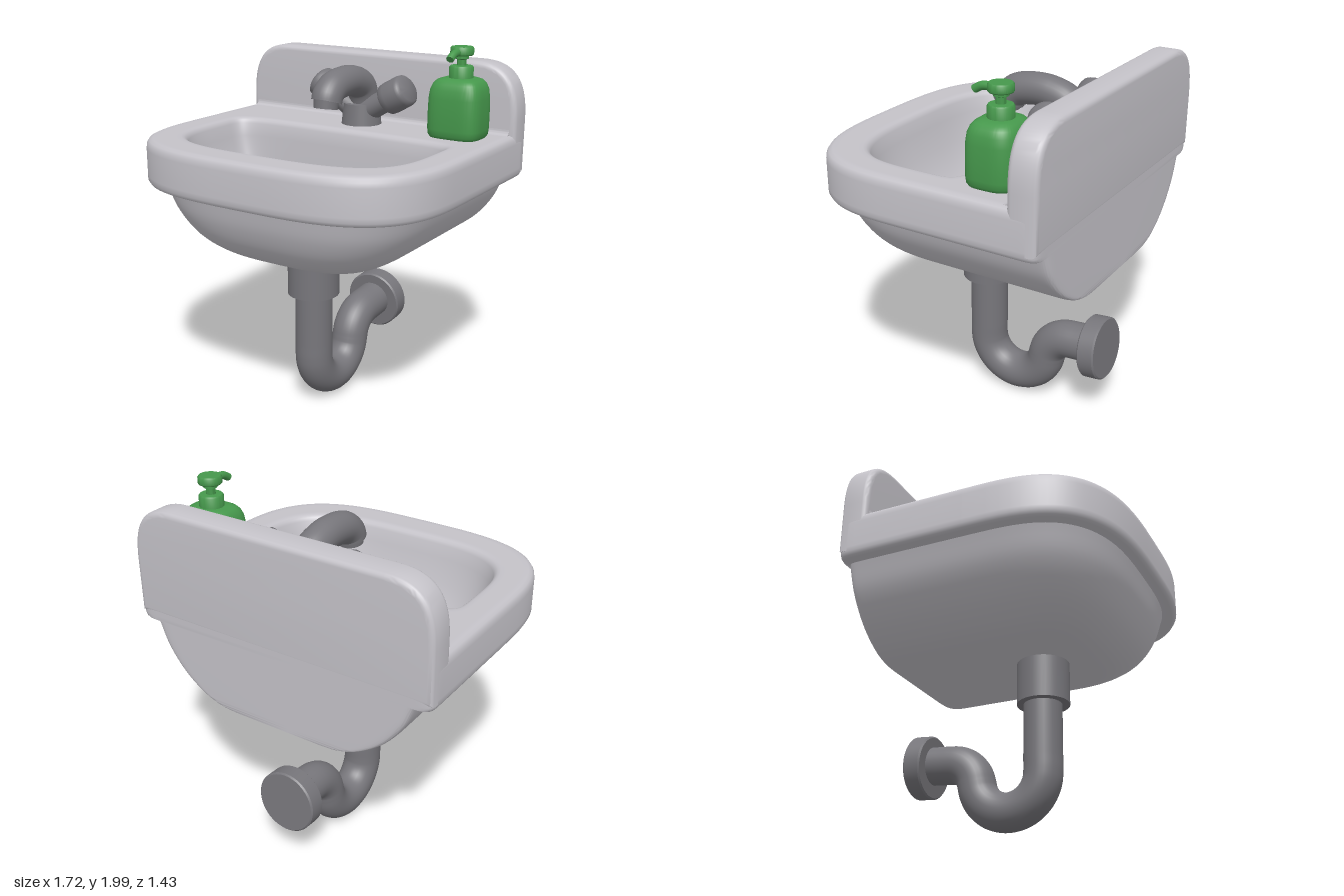
import * as THREE from 'three';
import { toCreasedNormals } from 'three/addons/utils/BufferGeometryUtils.js';

const SEG = 96;

const ceramic = new THREE.MeshStandardMaterial({ color: 0xc4c2c8 });
ceramic.name = 'ceramic';
const metal = new THREE.MeshStandardMaterial({ color: 0x77767b });
metal.name = 'greyMetal';
const green = new THREE.MeshStandardMaterial({ color: 0x46984c });
green.name = 'greenPlastic';

// Skin through rounded rings: [y, half width, front depth, back depth, front exponent, back exponent]
function loft(rings) {
  const pos = [], index = [];
  const power = (v, n) => Math.sign(v) * Math.abs(v) ** (2 / n);
  for (const [y, w, f, b, nf, nb] of rings) {
    for (let i = 0; i < SEG; i++) {
      const a = (i / SEG) * Math.PI * 2;
      const c = Math.cos(a), s = Math.abs(Math.sin(a)) < 1e-9 ? 0 : Math.sin(a);
      const n = s >= 0 ? nf : nb;
      pos.push(w * power(c, n), y, (s >= 0 ? f : b) * power(s, n));
    }
  }
  for (let r = 0; r < rings.length - 1; r++) {
    for (let i = 0; i < SEG; i++) {
      const p = r * SEG + i, q = r * SEG + ((i + 1) % SEG);
      index.push(p, p + SEG, q, q, p + SEG, q + SEG);
    }
  }
  const g = new THREE.BufferGeometry();
  g.setAttribute('position', new THREE.Float32BufferAttribute(pos, 3));
  g.setIndex(index);
  return toCreasedNormals(g, 0.9);
}

// Smooth list of [a, b, c] rows through a few given rows
const smooth = (rows, n) => new THREE.CatmullRomCurve3(rows.map((r) => new THREE.Vector3(...r)))
  .getPoints(n).map((p) => p.toArray());

function add(parent, name, geometry, material, x = 0, y = 0, z = 0) {
  const m = new THREE.Mesh(geometry, material);
  m.name = name;
  m.position.set(x, y, z);
  parent.add(m);
  return m;
}

const cyl = (r1, r2, h) => new THREE.CylinderGeometry(r1, r2, h, 40);
const lathe = (pts) => toCreasedNormals(
  new THREE.LatheGeometry(pts.map((p) => new THREE.Vector2(...p)), 48), 0.7);
const tube = (pts, r, n = 80) => new THREE.TubeGeometry(
  new THREE.CatmullRomCurve3(pts.map(([y, z]) => new THREE.Vector3(0, y, z))), n, r, 28);

function createBasin() {
  const g = new THREE.Group();
  g.name = 'basin';
  // Outside of the bowl and rim, with a flat back
  const belly = smooth([
    [0.9, 0.28, 0.2], [0.907, 0.37, 0.3], [0.94, 0.475, 0.415], [1.03, 0.607, 0.53],
    [1.16, 0.71, 0.603], [1.3, 0.768, 0.642],
  ], 28);
  const outer = [
    [0.9, 0, 0], ...belly,
    [1.294, 0.8, 0.665], [1.29, 0.832, 0.69], [1.296, 0.848, 0.705], [1.315, 0.858, 0.715],
    [1.34, 0.858, 0.715], [1.48, 0.858, 0.715], [1.505, 0.855, 0.712], [1.522, 0.845, 0.702],
    [1.53, 0.828, 0.685], [1.53, 0.8, 0.66],
  ].map(([y, w, f]) => [y, w, f, 0.715, 3.2, 40]);
  // Inside of the bowl
  const inner = [
    [1.53, 0.72, 0.555, 0.255], [1.53, 0.7, 0.535, 0.238], [1.526, 0.687, 0.522, 0.225],
    [1.516, 0.676, 0.51, 0.214], [1.5, 0.669, 0.502, 0.207], [1.43, 0.656, 0.486, 0.202],
    [1.3, 0.625, 0.45, 0.197], [1.18, 0.57, 0.395, 0.192], [1.09, 0.5, 0.325, 0.186],
    [1.03, 0.405, 0.25, 0.172], [1.003, 0.29, 0.18, 0.145], [0.992, 0.15, 0.11, 0.09],
    [0.99, 0, 0, 0],
  ].map((r) => [...r, 3.4, 6]);
  add(g, 'bowl', loft([...outer, ...inner]), ceramic);

  // Upright splash panel with rounded top corners
  const b = 0.03, w = 0.857 - b, top = 1.905 - b;
  const s = new THREE.Shape();
  s.moveTo(-w, 1.35);
  s.lineTo(-w, 1.6);
  s.bezierCurveTo(-w, 1.79, -0.77, top, -0.6, top);
  s.lineTo(0.6, top);
  s.bezierCurveTo(0.77, top, w, 1.79, w, 1.6);
  s.lineTo(w, 1.35);
  const splash = new THREE.ExtrudeGeometry(s, {
    depth: 0.155 - 2 * b, bevelThickness: b, bevelSize: b, bevelSegments: 5, curveSegments: 20,
  });
  add(g, 'splashback', toCreasedNormals(splash, 0.7), ceramic, 0, 0, -0.716 + b);

  // Concave fillet where the panel meets the rim
  const c = new THREE.Shape();
  c.moveTo(0, 0);
  c.lineTo(0.03, 0);
  c.quadraticCurveTo(0, 0, 0, 0.03);
  const cove = new THREE.ExtrudeGeometry(c, { depth: 1.65, bevelEnabled: false, curveSegments: 8 });
  const fillet = add(g, 'fillet', toCreasedNormals(cove, 0.7), ceramic, 0.825, 1.53, -0.561);
  fillet.rotation.y = -Math.PI / 2;
  return g;
}

// Trap centreline as [y, z]: down, round the U, then back over to the wall
function trapPath() {
  const pts = [[0.8, 0.055], [0.65, 0.055], [0.5, 0.055], [0.38, 0.055]];
  const r1 = 0.19, r2 = 0.153, turn = 1.43, y = 0.303, z = -0.135;
  for (let i = 0; i <= 12; i++) {
    const a = -Math.PI / 2 + (i / 12) * (Math.PI / 2 + turn);
    pts.push([y - r1 * Math.cos(a), z - r1 * Math.sin(a)]);
  }
  const cy = y - (r1 + r2) * Math.cos(turn), cz = z - (r1 + r2) * Math.sin(turn);
  for (let i = 1; i <= 6; i++) {
    const a = turn + (i / 6) * (-0.088 - turn + 0.176);
    pts.push([cy + r2 * Math.cos(a), cz + r2 * Math.sin(a)]);
  }
  const [ey, ez] = pts[pts.length - 1];
  pts.push([ey + 0.006, ez - 0.07], [ey + 0.017, -0.65]);
  return pts;
}

function createPlumbing() {
  const g = new THREE.Group();
  g.name = 'plumbing';
  // Drain fitting seen inside the bowl
  add(g, 'drain', lathe([
    [0.105, 0.97], [0.105, 1.012], [0.098, 1.02], [0.078, 1.02], [0.07, 1.005],
    [0.045, 1.005], [0.04, 1.016], [0.02, 1.02], [0, 1.02],
  ]), metal, 0, 0, 0.035);
  add(g, 'collar', cyl(0.141, 0.141, 0.25), metal, 0, 0.795, 0.058);
  add(g, 'trapPipe', tube(trapPath(), 0.103, 140), metal);
  const flange = add(g, 'wallFlange', lathe([
    [0, -0.049], [0.162, -0.049], [0.17, -0.041], [0.17, 0.041], [0.162, 0.049], [0, 0.049],
  ]), metal, 0, 0.414, -0.633);
  flange.rotation.x = -Math.PI / 2 + 0.088;
  return g;
}

function createTap() {
  const g = new THREE.Group();
  g.name = 'tap';
  add(g, 'tapBase', cyl(0.1, 0.112, 0.12), metal, 0, 1.585, -0.423);
  add(g, 'spout', tube([
    [1.55, -0.45], [1.65, -0.45], [1.742, -0.41], [1.782, -0.31], [1.785, -0.2],
    [1.767, -0.12], [1.73, -0.076], [1.7, -0.066],
  ], 0.083), metal);
  const nozzle = add(g, 'nozzle', cyl(0.069, 0.064, 0.06), metal, 0, 1.697, -0.063);
  nozzle.rotation.x = -0.15;
  // Mirrored handles
  for (const side of [-1, 1]) {
    const handle = new THREE.Group();
    handle.name = side > 0 ? 'leftHandle' : 'rightHandle';
    handle.position.set(0, 1.585, -0.43);
    handle.rotation.z = -side * 1.06;
    const stem = add(handle, 'stem', cyl(0.06, 0.068, 0.2), metal, 0, 0.1, 0);
    stem.scale.z = 1.2;
    const knob = add(handle, 'knob', lathe([
      [0, 0.182], [0.08, 0.182], [0.087, 0.19], [0.09, 0.22], [0.089, 0.3],
      [0.085, 0.318], [0.072, 0.329], [0, 0.334],
    ]), metal);
    knob.scale.z = 1.1;
    g.add(handle);
  }
  return g;
}

function createSoapBottle() {
  const g = new THREE.Group();
  g.name = 'soapDispenser';
  g.position.set(0.614, 0, -0.394);
  add(g, 'bottle', loft([
    [1.531, 0, 0], [1.531, 0.12, 0.105], [1.535, 0.135, 0.12], [1.55, 0.144, 0.129],
    [1.58, 0.148, 0.132], [1.66, 0.148, 0.132], [1.74, 0.146, 0.13], [1.785, 0.14, 0.124],
    [1.815, 0.128, 0.112], [1.833, 0.11, 0.096], [1.842, 0.08, 0.075], [1.842, 0, 0],
  ].map(([y, w, d]) => [y, w, d, d, 4, 2.8])), green);
  add(g, 'pump', lathe([
    [0.063, 1.83], [0.063, 1.895], [0.057, 1.903], [0.024, 1.905], [0.024, 1.935],
    [0.036, 1.94], [0.036, 1.957], [0.056, 1.957], [0.061, 1.963], [0.061, 1.992],
    [0.055, 2.0], [0, 2.0],
  ]), green);
  add(g, 'pumpSpout', tube([[1.972, 0], [1.974, 0.06], [1.969, 0.1], [1.95, 0.135]], 0.02, 24), green);
  const tip = add(g, 'spoutTip', cyl(0.02, 0.02, 0.006), green, 0, 1.95, 0.135);
  tip.rotation.x = 2.2;
  return g;
}

export function createModel() {
  const model = new THREE.Group();
  model.name = 'washbasin';
  model.add(createBasin(), createPlumbing(), createTap(), createSoapBottle());
  return model;
}
